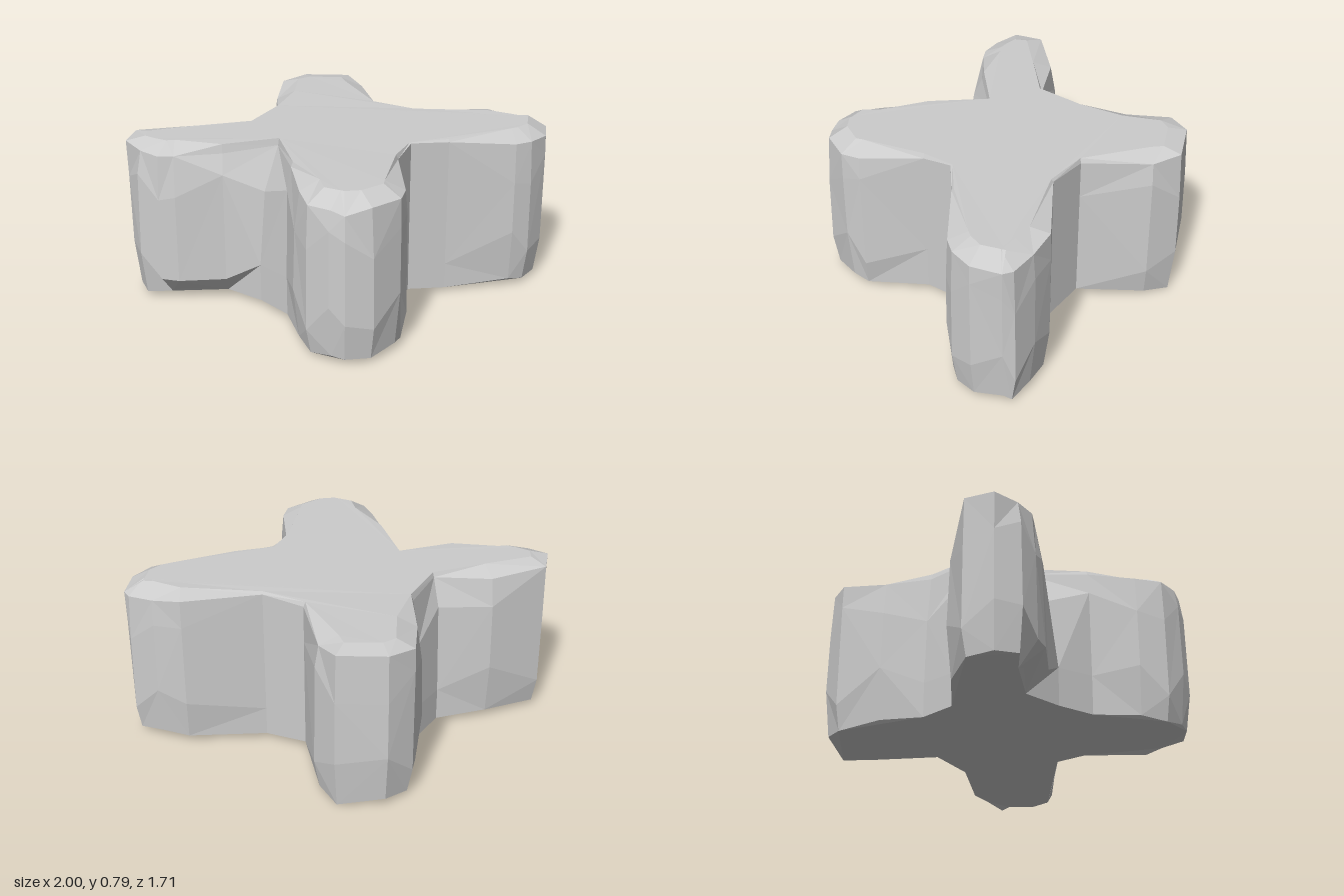
import * as THREE from 'three';

// Outline columns seen from above, counter-clockwise: x, z, rim inset, rim height
const FRONT_ARM = [
  [-0.30, 0.40, 0.03, 0.76], [-0.295, 0.62, 0.04, 0.74], [-0.25, 0.75, 0.02, 0.73],
  [-0.16, 0.83, 0.03, 0.73], [-0.09, 0.86, 0.03, 0.71], [0.04, 0.85, 0.03, 0.74],
  [0.17, 0.75, 0.01, 0.74], [0.215, 0.66, 0.02, 0.74], [0.21, 0.36, 0.0, 0.76],
  [0.29, 0.23, 0.0, 0.78],
];
const LEFT_ARM = [
  [0.47, 0.21, 0.0, 0.77], [0.79, 0.22, 0.02, 0.74], [0.88, 0.19, 0.02, 0.74],
  [0.965, 0.10, 0.01, 0.735], [0.995, -0.04, 0.0, 0.73], [0.99, -0.10, 0.02, 0.73],
  [0.88, -0.18, 0.02, 0.74], [0.75, -0.24, 0.01, 0.76], [0.38, -0.23, 0.0, 0.77],
];
const BACK_ARM = [
  [0.21, -0.35, 0.0, 0.76], [0.215, -0.68, 0.03, 0.75], [0.14, -0.82, 0.02, 0.77],
  [-0.09, -0.86, 0.02, 0.77], [-0.22, -0.78, 0.01, 0.76], [-0.30, -0.57, 0.04, 0.74],
  [-0.32, -0.36, 0.04, 0.75],
];
const RIGHT_ARM = [
  [-0.44, -0.22, 0.07, 0.76], [-0.69, -0.23, 0.04, 0.75], [-0.96, -0.14, 0.01, 0.765],
  [-1.0, 0.0, 0.0, 0.765], [-0.965, 0.12, 0.04, 0.75], [-0.87, 0.18, 0.03, 0.74],
  [-0.79, 0.21, 0.05, 0.74], [-0.57, 0.21, 0.06, 0.74], [-0.41, 0.25, 0.18, 0.75],
];
const OUTLINE = [...FRONT_ARM, ...LEFT_ARM, ...BACK_ARM, ...RIGHT_ARM];
const N = OUTLINE.length;

// Unit inward normal and corner turn (positive where convex) of column i
function frame(i) {
  const p = OUTLINE[(i + N - 1) % N], c = OUTLINE[i], q = OUTLINE[(i + 1) % N];
  const tx = q[0] - p[0], tz = q[1] - p[1], len = Math.hypot(tx, tz);
  const turn = (c[1] - p[1]) * (q[0] - c[0]) - (c[0] - p[0]) * (q[1] - c[1]);
  return { nx: tz / len, nz: -tx / len, concave: turn < -0.004 };
}

// Five points from the base to the crest of one column
function column([x, z, inset, rimY], i) {
  const { nx, nz, concave } = frame(i);
  const wobble = Math.sin(i * 2.4);
  const at = (d, y) => [x + nx * d, y, z + nz * d];
  // the underside is cut away along the front of the right arm
  const cut = x > -0.9 && x < -0.5 && z > 0;
  const baseY = x > 0.1 && x < 0.2 && z < -0.7 ? 0 : 0.03 + 0.01 * wobble;
  return [
    at(cut ? 0.1 : concave ? 0 : 0.03, baseY),
    at(concave ? 0 : 0.006, cut ? 0.13 : 0.22 + 0.08 * wobble),
    at(0.3 * inset + (concave ? 0 : 0.004), 0.58 + 0.07 * Math.cos(i * 1.9)),
    at(inset, rimY),
    at(inset + (concave ? 0.01 : 0.09), concave ? 0.782 : 0.786),
  ];
}

function crossGeometry() {
  const columns = OUTLINE.map(column);
  const levels = columns[0].length;
  const index = [];
  // walls and sloped shoulder, with alternating facet diagonals
  for (let i = 0; i < N; i++) {
    const j = (i + 1) % N;
    for (let k = 0; k < levels - 1; k++) {
      const a = i * levels + k, b = j * levels + k, c = b + 1, d = a + 1;
      if ((i + k) % 2) index.push(a, b, c, a, c, d);
      else index.push(a, b, d, b, c, d);
    }
  }
  // top and bottom caps
  for (const k of [0, levels - 1]) {
    const ring = columns.map((c) => new THREE.Vector2(c[k][0], -c[k][2]));
    for (const [a, b, c] of THREE.ShapeUtils.triangulateShape(ring, [])) {
      const tri = k ? [a, b, c] : [a, c, b];
      index.push(...tri.map((v) => v * levels + k));
    }
  }
  const geometry = new THREE.BufferGeometry();
  geometry.setAttribute('position', new THREE.Float32BufferAttribute(columns.flat(2), 3));
  geometry.setIndex(index);
  geometry.computeVertexNormals();
  return geometry;
}

export function createModel() {
  const group = new THREE.Group();
  group.name = 'crossShapedRock';
  const material = new THREE.MeshStandardMaterial({ color: 0xcccccc, flatShading: true });
  const rock = new THREE.Mesh(crossGeometry(), material);
  rock.name = 'rockBody';
  group.add(rock);
  return group;
}
